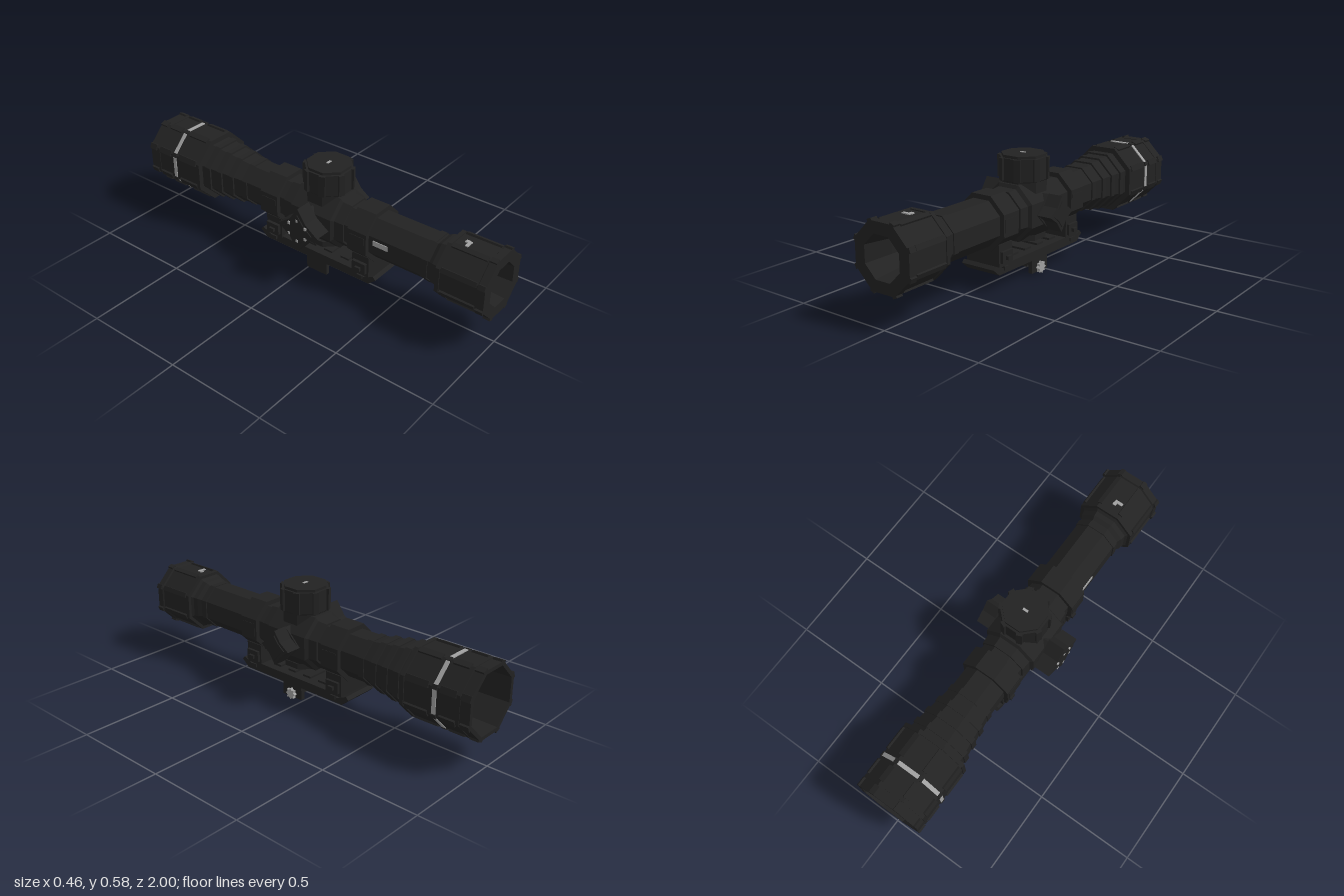
import * as THREE from 'three';

const black = new THREE.MeshStandardMaterial({ color: 0x222222 });
black.name = 'matte black';
const grey = new THREE.MeshStandardMaterial({ color: 0xa0a0a0 });
grey.name = 'light grey';

const AX = 0.004, AY = 0.313; // optical axis
const TURRET_Z = 0.06;

export function createModel() {
  const model = new THREE.Group();
  model.name = 'telescopicSight';

  const add = (name, geo, mat = black, parent = model) => {
    const g = geo.index ? geo.toNonIndexed() : geo;
    g.computeVertexNormals();
    const mesh = new THREE.Mesh(g, mat);
    mesh.name = name;
    parent.add(mesh);
    return mesh;
  };
  // Box given by its limits on each axis
  const box = (name, x0, x1, y0, y1, z0, z1, mat) => {
    const mesh = add(name, new THREE.BoxGeometry(x1 - x0, y1 - y0, z1 - z0), mat);
    mesh.position.set((x0 + x1) / 2, (y0 + y1) / 2, (z0 + z1) / 2);
    return mesh;
  };
  // Eight-sided turned part; points are [apothem, height]
  const octagon = (pts) => new THREE.LatheGeometry(
    pts.map(([a, h]) => new THREE.Vector2(a / Math.cos(Math.PI / 8), h)), 8, Math.PI / 8);

  const barrel = new THREE.Group();
  barrel.name = 'barrel';
  barrel.position.set(AX, AY, 0);
  model.add(barrel);
  const along = (name, pts, mat) => add(name, octagon(pts).rotateX(Math.PI / 2), mat, barrel);
  const collar = (name, a, z0, z1, mat, inner = 0.1) =>
    along(name, [[inner, z0], [a, z0], [a, z1], [inner, z1]], mat);
  // Small blocks on the eight corners of the barrel
  const cornerBlocks = (name, a, z0, z1, w, t) => {
    for (let i = 0; i < 8; i++) {
      const ang = (i + 0.5) * Math.PI / 4, r = a / Math.cos(Math.PI / 8);
      const m = add(name, new THREE.BoxGeometry(t, w, z1 - z0), black, barrel);
      m.position.set(Math.cos(ang) * r, Math.sin(ang) * r, (z0 + z1) / 2);
      m.rotation.z = ang;
    }
  };
  // Thin raised plates on the eight flats of the barrel
  const flatPlates = (name, a, z0, z1, w, mat = black, t = 0.008) => {
    for (let i = 0; i < 8; i++) {
      const ang = i * Math.PI / 4;
      const m = add(name, new THREE.BoxGeometry(t, w, z1 - z0), mat, barrel);
      m.position.set(Math.cos(ang) * a, Math.sin(ang) * a, (z0 + z1) / 2);
      m.rotation.z = ang;
    }
  };

  // Hollow main tube, objective bell and eyepiece
  along('mainTube', [
    [0.145, -1], [0.163, -1], [0.163, -0.65], [0.142, -0.645], [0.137, -0.6], [0.13, -0.55],
    [0.12, -0.47], [0.107, -0.38], [0.107, 0.7], [0.118, 0.72], [0.122, 0.745], [0.143, 0.765],
    [0.145, 0.96], [0.152, 0.965], [0.152, 1], [0.098, 1], [0.083, 0.86],
    [0.083, -0.45], [0.12, -0.68], [0.138, -0.72], [0.145, -1]]);

  // Objective details
  collar('objectiveRearRim', 0.168, -0.665, -0.645, black, 0.13);
  collar('objectiveFrontRim', 0.166, -0.95, -0.935, black, 0.15);
  cornerBlocks('objectiveGrip', 0.161, -0.93, -0.85, 0.03, 0.012);
  cornerBlocks('objectiveGrip', 0.161, -0.79, -0.67, 0.03, 0.012);
  cornerBlocks('objectiveLug', 0.16, -1, -0.955, 0.03, 0.014);
  flatPlates('objectiveBand', 0.163, -0.832, -0.812, 0.125, grey);
  cornerBlocks('bandLink', 0.163, -0.835, -0.809, 0.022, 0.008);
  [[0.145, -0.62, -0.59], [0.136, -0.55, -0.52], [0.126, -0.48, -0.45], [0.114, -0.4, -0.37]]
    .forEach(([a, z0, z1]) => collar('bellStep', a, z0, z1));

  // Eyepiece details
  collar('eyepieceCollar', 0.148, 0.755, 0.775);
  cornerBlocks('eyepieceGrip', 0.143, 0.78, 0.955, 0.024, 0.012);
  cornerBlocks('eyepieceLug', 0.151, 0.965, 1, 0.024, 0.012);
  collar('tubeCollar', 0.112, 0.66, 0.69);

  // Eyepiece marker and side plate
  box('eyepieceMark', -0.035, 0.008, 0.455, 0.462, 0.825, 0.84, grey);
  box('eyepieceMark', -0.008, 0.01, 0.455, 0.462, 0.81, 0.826, grey);
  box('sidePlate', -0.107, -0.101, 0.315, 0.34, 0.4, 0.48, grey);

  // Central saddle
  along('saddle', [
    [0.1, -0.12], [0.116, -0.12], [0.12, -0.07], [0.137, -0.06], [0.137, 0.175],
    [0.12, 0.185], [0.116, 0.235], [0.1, 0.235]]);

  // Elevation turret
  const turret = new THREE.Group();
  turret.name = 'elevationTurret';
  turret.position.set(AX, 0, TURRET_Z);
  model.add(turret);
  add('turretBody', octagon([
    [0.105, 0.4], [0.105, 0.455], [0.11, 0.46], [0.11, 0.567], [0.1, 0.567],
    [0.1, 0.58], [0, 0.58]]), black, turret);
  for (let i = 0; i < 8; i++) {
    const rib = add('turretRib', new THREE.BoxGeometry(0.03, 0.107, 0.014), black, turret);
    const ang = (i + 0.5) * Math.PI / 4;
    rib.position.set(Math.sin(ang) * 0.117, 0.514, Math.cos(ang) * 0.117);
    rib.rotation.y = ang;
  }
  box('turretMark', -0.012, 0.016, 0.576, 0.583, 0.055, 0.067, grey);
  add('lowerBoss', octagon([[0, 0.172], [0.1, 0.172], [0.1, 0.2]]), black, turret);

  // Star outline used for knobs and the clamp screw
  const star = (points, outer, inner) => {
    const s = new THREE.Shape();
    for (let i = 0; i < points * 2; i++) {
      const r = i % 2 ? inner : outer, a = i * Math.PI / points;
      s[i ? 'lineTo' : 'moveTo'](r * Math.cos(a), r * Math.sin(a));
    }
    s.closePath();
    return s;
  };
  // Side knobs, pointing outwards along x
  const knob = (name, side, r, start, end) => {
    const part = (label, shape, x0, x1) => {
      const g = new THREE.ExtrudeGeometry(shape, { depth: x1 - x0, bevelEnabled: false });
      const m = add(label, g.rotateY(side * Math.PI / 2));
      m.position.set(side * x0, AY, TURRET_Z - 0.005);
    };
    part(name, star(4, r, r * 0.58), start, end);
    part(name + 'Cap', star(4, r * 0.72, r * 0.45), end, end + 0.005);
    part(name + 'Neck', star(4, 0.085, 0.06), 0.11, start);
  };
  knob('leftKnob', 1, 0.0875, 0.148, 0.223);
  knob('rightKnob', -1, 0.117, 0.14, 0.224);
  for (let i = 0; i < 6; i++) {
    const a = (i + 0.5) * Math.PI / 3;
    const y = AY + 0.055 * Math.sin(a), z = TURRET_Z - 0.005 + 0.055 * Math.cos(a);
    box('knobMark', -0.231, -0.223, y - 0.007, y + 0.007, z - 0.006, z + 0.006, grey);
  }

  // Scope rings with feet and cross bolts
  [[0.27, 0.375], [-0.26, -0.155]].forEach(([z0, z1]) => {
    collar('scopeRing', 0.13, z0, z1);
    const zc = (z0 + z1) / 2;
    box('ringFoot', -0.09, 0.1, 0.11, 0.22, z0 + 0.005, z1 - 0.005);
    box('ringClamp', -0.106, 0.114, 0.13, 0.185, z0 + 0.015, z1 - 0.015);
    box('ringBolt', -0.118, 0.127, 0.145, 0.163, zc - 0.015, zc + 0.015);
    box('baseBolt', -0.098, 0.107, 0.092, 0.11, zc - 0.015, zc + 0.015);
    // Ring side flanges
    [-0.128, 0.122].forEach((x) => box('ringFlange', x, x + 0.014, 0.28, 0.345, z0 + 0.01, z1 - 0.01));
  });

  // Base rail with undercut ends
  const rail = new THREE.Shape();
  [[0.37, 0.075], [0.41, 0.11], [0.395, 0.125], [0.34, 0.1], [0.3, 0.12], [-0.19, 0.12],
    [-0.23, 0.1], [-0.285, 0.125], [-0.3, 0.11], [-0.26, 0.075]]
    .forEach(([z, y], i) => rail[i ? 'lineTo' : 'moveTo'](-z, y));
  rail.closePath();
  const railMesh = add('baseRail',
    new THREE.ExtrudeGeometry(rail, { depth: 0.188, bevelEnabled: false }).rotateY(Math.PI / 2));
  railMesh.position.x = -0.088;
  [0.2, 0.1, 0, -0.1].forEach((z) => box('railStud', -0.05, 0.06, 0.115, 0.13, z - 0.025, z + 0.025));

  // Clamp under the rail
  box('clampPlate', -0.088, 0.1, 0.05, 0.078, 0, 0.12);
  box('clampJaw', -0.088, -0.068, 0.01, 0.055, 0, 0.12);
  box('clampJaw', 0.077, 0.1, 0.01, 0.055, 0, 0.12);
  box('recoilLug', -0.047, 0.055, 0.03, 0.055, 0.02, 0.1);
  const screw = add('clampScrew', new THREE.ExtrudeGeometry(star(8, 0.03, 0.021),
    { depth: 0.019, bevelEnabled: false }).rotateY(Math.PI / 2), grey);
  screw.position.set(0.097, 0.031, TURRET_Z);

  return model;
}
